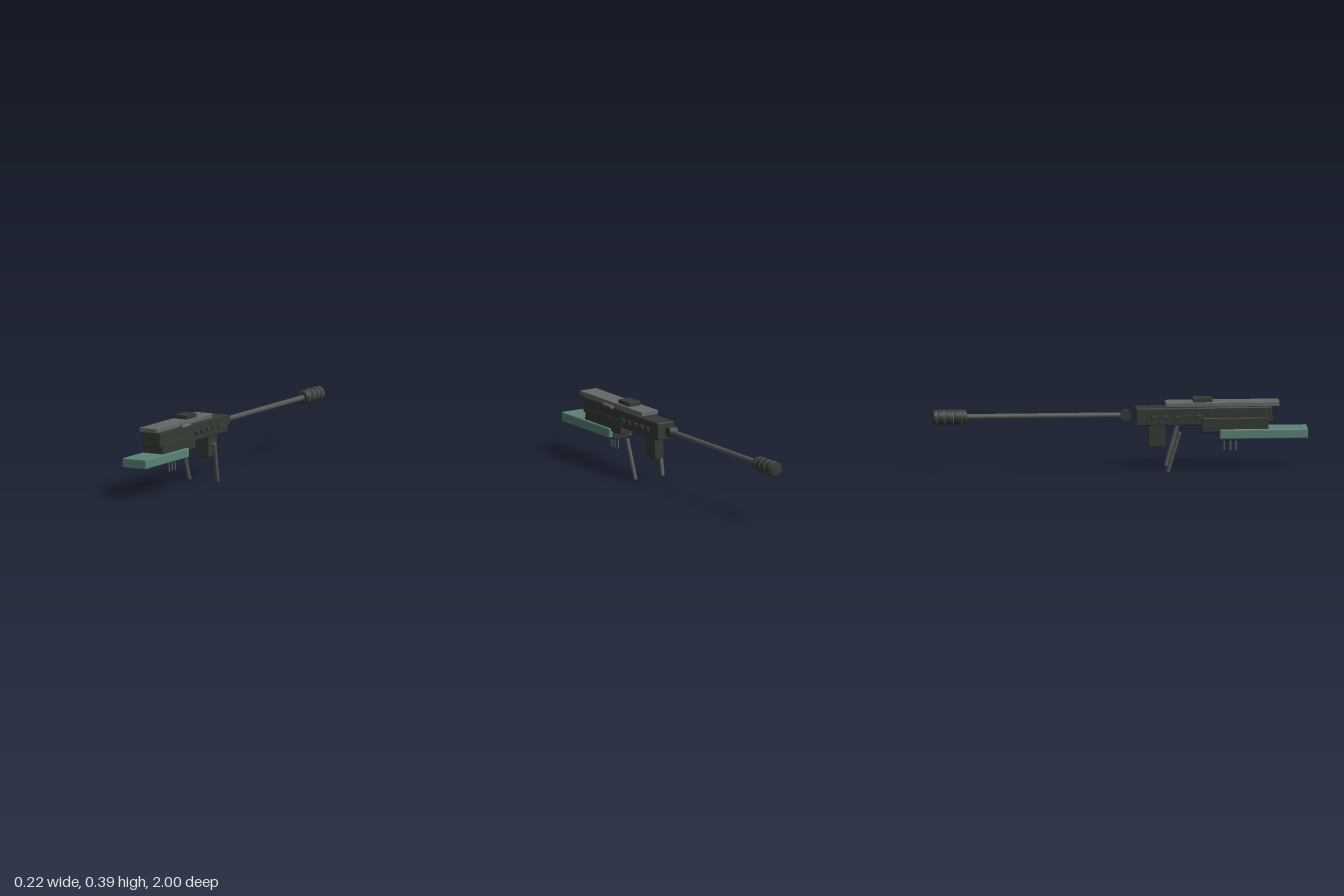
import * as THREE from 'three';
import { RoundedBoxGeometry } from 'three/addons/geometries/RoundedBoxGeometry.js';

const material = (name, color) => {
  const m = new THREE.MeshStandardMaterial({ color });
  m.name = name;
  return m;
};

export function createModel() {
  const dark = material('dark gunmetal', 0x343a33);
  const steel = material('barrel steel', 0x525755);
  const grey = material('rail grey', 0x646866);
  const green = material('stock green', 0x5b8276);
  const model = new THREE.Group();

  const add = (name, geometry, mat, x = 0, y = 0, z = 0) => {
    const mesh = new THREE.Mesh(geometry, mat);
    mesh.name = name;
    mesh.position.set(x, y, z);
    model.add(mesh);
    return mesh;
  };

  // Rounded box between limits; topX and topZ scale its upper end
  const block = (name, mat, [x0, x1], [y0, y1], [z0, z1], r = 0.006, topX = 1, topZ = 1) => {
    const h = y1 - y0;
    const g = new RoundedBoxGeometry(x1 - x0, h, z1 - z0, 2, r);
    const p = g.attributes.position;
    if (topX !== 1 || topZ !== 1) {
      for (let i = 0; i < p.count; i++) {
        const t = p.getY(i) / h + 0.5;
        p.setX(i, p.getX(i) * (1 + (topX - 1) * t));
        p.setZ(i, p.getZ(i) * (1 + (topZ - 1) * t));
      }
    }
    return add(name, g, mat, (x0 + x1) / 2, (y0 + y1) / 2, (z0 + z1) / 2);
  };

  // Cylinder joining two points
  const rod = (name, mat, a, b, r, sides = 16) => {
    const from = new THREE.Vector3(...a), to = new THREE.Vector3(...b);
    const dir = to.clone().sub(from);
    const mesh = add(name, new THREE.CylinderGeometry(r, r, dir.length(), sides), mat);
    mesh.position.copy(from).add(to).multiplyScalar(0.5);
    mesh.quaternion.setFromUnitVectors(new THREE.Vector3(0, 1, 0), dir.normalize());
    return mesh;
  };

  // Receiver and stock
  block('stock', green, [-0.072, 0.072], [0.172, 0.223], [0.53, 1.0], 0.006);
  block('lowerReceiver', dark, [-0.06, 0.06], [0.207, 0.285], [0.435, 0.79], 0.006, 0.95);
  block('upperReceiver', dark, [-0.056, 0.056], [0.257, 0.342], [0.43, 0.815], 0.008, 0.91, 0.96);
  block('handguard', dark, [-0.053, 0.053], [0.245, 0.339], [0.083, 0.5], 0.006);

  // Top rail and sight
  block('railBase', dark, [-0.03, 0.03], [0.335, 0.348], [0.26, 0.8], 0.003);
  block('topRail', grey, [-0.0525, 0.0525], [0.344, 0.367], [0.243, 0.849], 0.002);
  block('sightBlock', dark, [-0.038, 0.038], [0.365, 0.388], [0.39, 0.492], 0.002);

  // Bolt on the left side
  rod('boltArm', dark, [0.012, 0.343, 0.585], [0.063, 0.343, 0.585], 0.011);
  rod('boltHandle', grey, [0.061, 0.343, 0.515], [0.061, 0.343, 0.597], 0.0095);

  // Parts below the receiver
  block('lowerHousing', dark, [-0.049, 0.049], [0.16, 0.215], [0.52, 0.68], 0.008);
  for (const z of [0.557, 0.59, 0.62]) {
    block('triggerPin', steel, [-0.003, 0.003], [0.1, 0.165], [z - 0.005, z + 0.005], 0.001);
  }
  block('frontGrip', dark, [-0.029, 0.029], [0.126, 0.255], [0.149, 0.244], 0.006, 0.94, 0.92);

  // Mirrored vents and legs
  for (const s of [-1, 1]) {
    for (let i = 0; i < 5; i++) {
      const z = 0.18 + i * 0.06;
      block('vent', dark, [s * 0.057 - 0.007, s * 0.057 + 0.007], [0.278, 0.3], [z - 0.015, z + 0.015], 0.003);
    }
    rod('bipodLeg', steel, [s * 0.1, 0.218, 0.312], [s * 0.086, 0.004, 0.25], 0.011);
  }

  // Barrel and its cross collar
  rod('barrelCollar', dark, [-0.024, 0.298, 0.03], [0.024, 0.298, 0.03], 0.028, 20);
  rod('barrel', steel, [0, 0.297, 0.03], [0, 0.297, -0.84], 0.0145);

  // Banded muzzle brake, with a grey ring in each groove
  const grooves = [0.027, 0.073, 0.118, 0.161];
  const profile = [[0, 0], [0.03, 0], [0.036, 0.004]];
  for (const g of grooves) profile.push([0.0395, g - 0.01], [0.0385, g - 0.004], [0.0355, g], [0.0385, g + 0.004], [0.0395, g + 0.01]);
  profile.push([0.0395, 0.178], [0.034, 0.184], [0, 0.184]);
  const muzzle = add('muzzleBrake',
    new THREE.LatheGeometry(profile.map(([r, y]) => new THREE.Vector2(r, y)), 28), dark, 0, 0.297, -0.816);
  muzzle.rotation.x = -Math.PI / 2;
  for (const g of grooves) {
    add('muzzleRing', new THREE.TorusGeometry(0.0365, 0.0025, 6, 28), grey, 0, 0.297, -0.816 - g);
  }

  return model;
}
